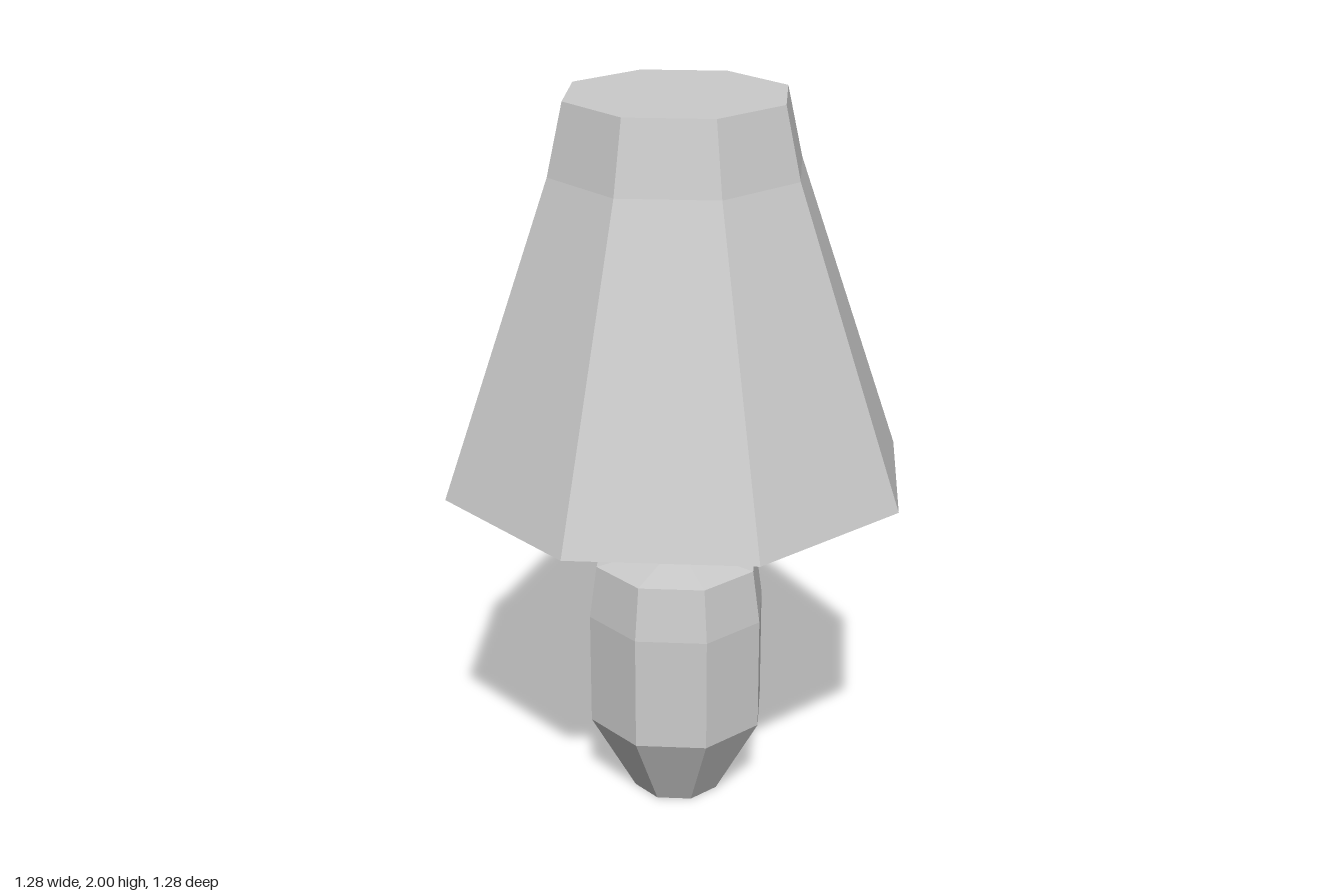
import * as THREE from 'three';

const SIDES = 8;

// Eight-sided faceted part turned from [radius, height] points, listed so that outer walls run upward
function turned(name, profile, material) {
  const points = profile.map(([r, y]) => new THREE.Vector2(r, y));
  const mesh = new THREE.Mesh(new THREE.LatheGeometry(points, SIDES), material);
  mesh.name = name;
  return mesh;
}

export function createModel() {
  const material = new THREE.MeshStandardMaterial({ color: 0xcccccc, flatShading: true });
  const lamp = new THREE.Group();
  lamp.name = 'tableLamp';

  // Faceted body with a tapered foot and shallow shoulder
  lamp.add(turned('base', [
    [0, 0], [0.125, 0], [0.253, 0.237], [0.253, 0.56], [0.232, 0.71], [0.03, 0.74],
  ], material));

  // Thin neck between body and socket
  lamp.add(turned('stem', [[0.03, 0.74], [0.032, 0.97]], material));

  // Tapered socket reaching up to the ceiling of the shade
  lamp.add(turned('socket', [[0.032, 0.97], [0.07, 0.97], [0.045, 1.38]], material));

  // Shade with a shallow hollow: ceiling, inner wall, bottom rim, outer wall, closed top
  lamp.add(turned('shade', [
    [0, 1.38], [0.46, 1.38], [0.603, 0.967],
    [0.642, 0.967], [0.345, 1.81], [0.302, 2], [0, 2],
  ], material));

  return lamp;
}
